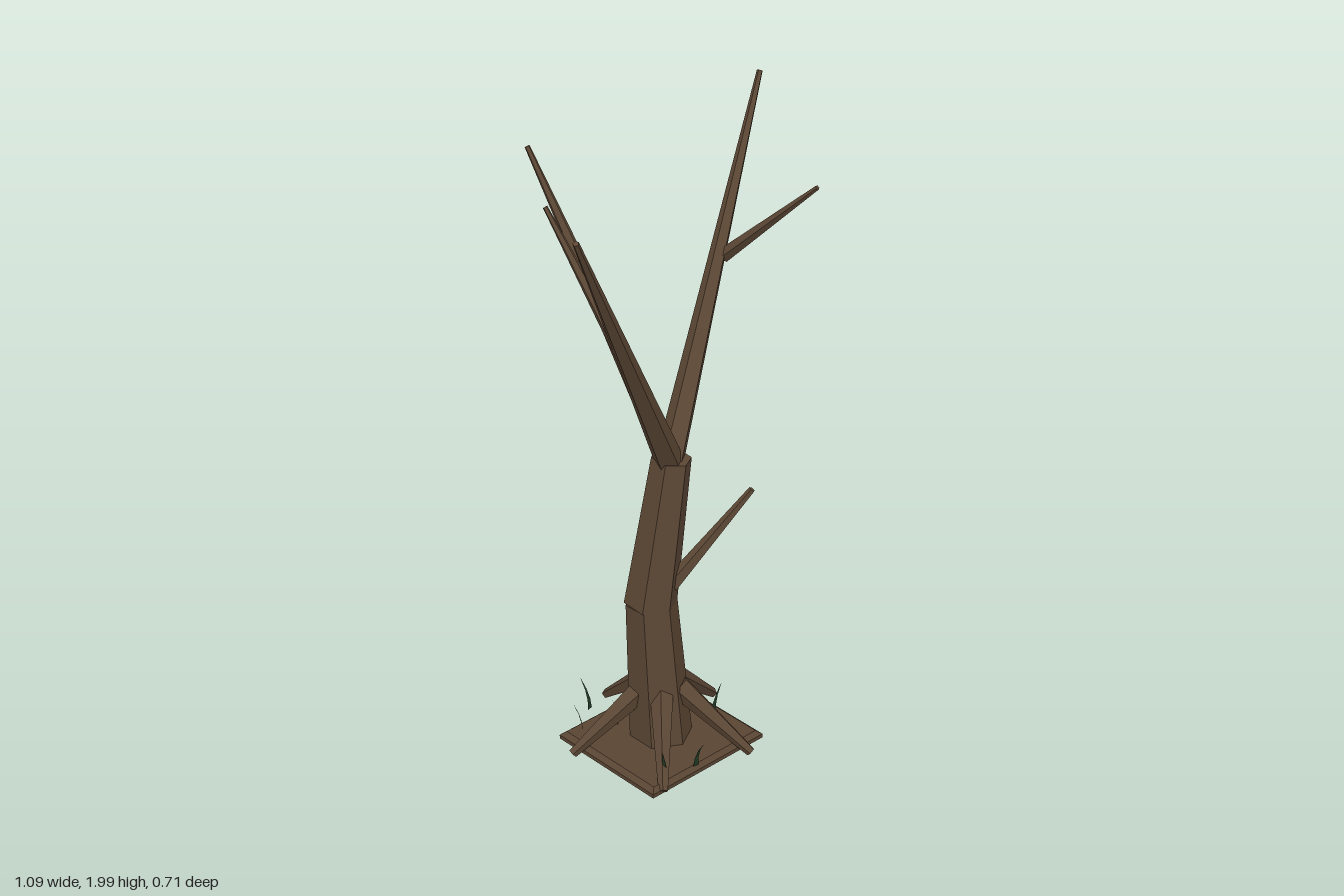
import * as THREE from 'three';

export function createModel() {
  const model = new THREE.Group();
  const bark = new THREE.MeshStandardMaterial({ color: 0x5c4735, flatShading: true });
  bark.name = 'barkBrown';
  const soil = new THREE.MeshStandardMaterial({ color: 0x5a4533, flatShading: true });
  soil.name = 'soilBrown';
  const green = new THREE.MeshStandardMaterial({ color: 0x1f3a22, side: THREE.DoubleSide, flatShading: true });
  green.name = 'grassGreen';

  // Tapered low-poly limb between two points
  const up = new THREE.Vector3(0, 1, 0);
  function limb(name, from, to, r0, r1, sides = 5) {
    const a = new THREE.Vector3(...from), b = new THREE.Vector3(...to);
    const dir = b.clone().sub(a);
    const mesh = new THREE.Mesh(new THREE.CylinderGeometry(r1, r0, dir.length(), sides), bark);
    mesh.quaternion.setFromUnitVectors(up, dir.normalize());
    mesh.position.copy(a).add(b).multiplyScalar(0.5);
    mesh.name = name;
    model.add(mesh);
  }

  // Bent trunk in two pieces
  limb('lowerTrunk', [-0.01, 0.02, 0.095], [-0.04, 0.515, 0.082], 0.098, 0.079, 6);
  limb('upperTrunk', [-0.042, 0.51, 0.08], [0.008, 1.0, 0.114], 0.082, 0.061, 6);

  // Main branches
  limb('leftBranch', [0.005, 0.97, 0.108], [0.535, 1.995, -0.08], 0.045, 0.009);
  limb('rightBranch', [0.01, 0.97, 0.11], [-0.538, 1.92, 0.328], 0.045, 0.009);
  limb('backBranch', [0.01, 0.98, 0.11], [-0.115, 1.86, -0.355], 0.038, 0.008);

  // Side twigs
  limb('leftTwig', [0.305, 1.515, 0.015], [0.376, 1.8, 0.31], 0.022, 0.007);
  limb('rightTwig', [-0.288, 1.485, 0.222], [-0.34, 1.85, -0.02], 0.022, 0.007);
  limb('lowerTwig', [0.0, 0.575, 0.125], [0.19, 0.885, 0.265], 0.026, 0.01);

  // Five roots fanned around the trunk
  for (let i = 0; i < 5; i++) {
    const a = THREE.MathUtils.degToRad(60 + i * 72);
    const at = (r, y) => [-0.01 + r * Math.cos(a), y, 0.095 + r * Math.sin(a)];
    limb('root' + (i + 1), at(0.055, 0.215), at(0.285, 0.018), 0.038, 0.015);
  }

  // Ground slab with a sloping rim
  const slab = new THREE.BoxGeometry(0.46, 0.026, 0.42, 1, 2, 1);
  const p = slab.attributes.position;
  for (let i = 0; i < p.count; i++) {
    if (p.getY(i) > 0.005) {
      p.setX(i, p.getX(i) * 0.93);
      p.setZ(i, p.getZ(i) * 0.93);
    }
  }
  slab.computeVertexNormals();
  const ground = new THREE.Mesh(slab, soil);
  ground.position.set(-0.01, 0.023, 0.095);
  ground.name = 'groundSlab';
  model.add(ground);

  // Grass blades: root x, z and lean in x, z
  const blades = [
    [-0.055, 0.295, -0.004, 0.038], [-0.088, -0.145, -0.008, -0.033],
    [0.175, 0.135, 0.03, 0.002], [-0.187, -0.068, -0.02, -0.018],
    [-0.082, -0.025, -0.016, -0.01], [0.125, 0.018, 0.018, -0.015],
    [-0.165, 0.275, -0.015, 0.006],
  ];
  const grass = new THREE.Group();
  grass.name = 'grass';
  blades.forEach(([x, z, lx, lz], n) => {
    const geo = new THREE.PlaneGeometry(0.02, 0.1, 1, 3);
    const v = geo.attributes.position;
    const lean = Math.hypot(lx, lz);
    for (let i = 0; i < v.count; i++) {
      const t = v.getY(i) / 0.1 + 0.5;
      v.setXYZ(i, v.getX(i) * (1 - t * 0.96), t * 0.1, lean * t * t);
    }
    geo.computeVertexNormals();
    const blade = new THREE.Mesh(geo, green);
    blade.position.set(x, 0.034, z);
    blade.rotation.y = Math.atan2(lx, lz);
    blade.name = 'grassBlade' + (n + 1);
    grass.add(blade);
  });
  model.add(grass);
  return model;
}
